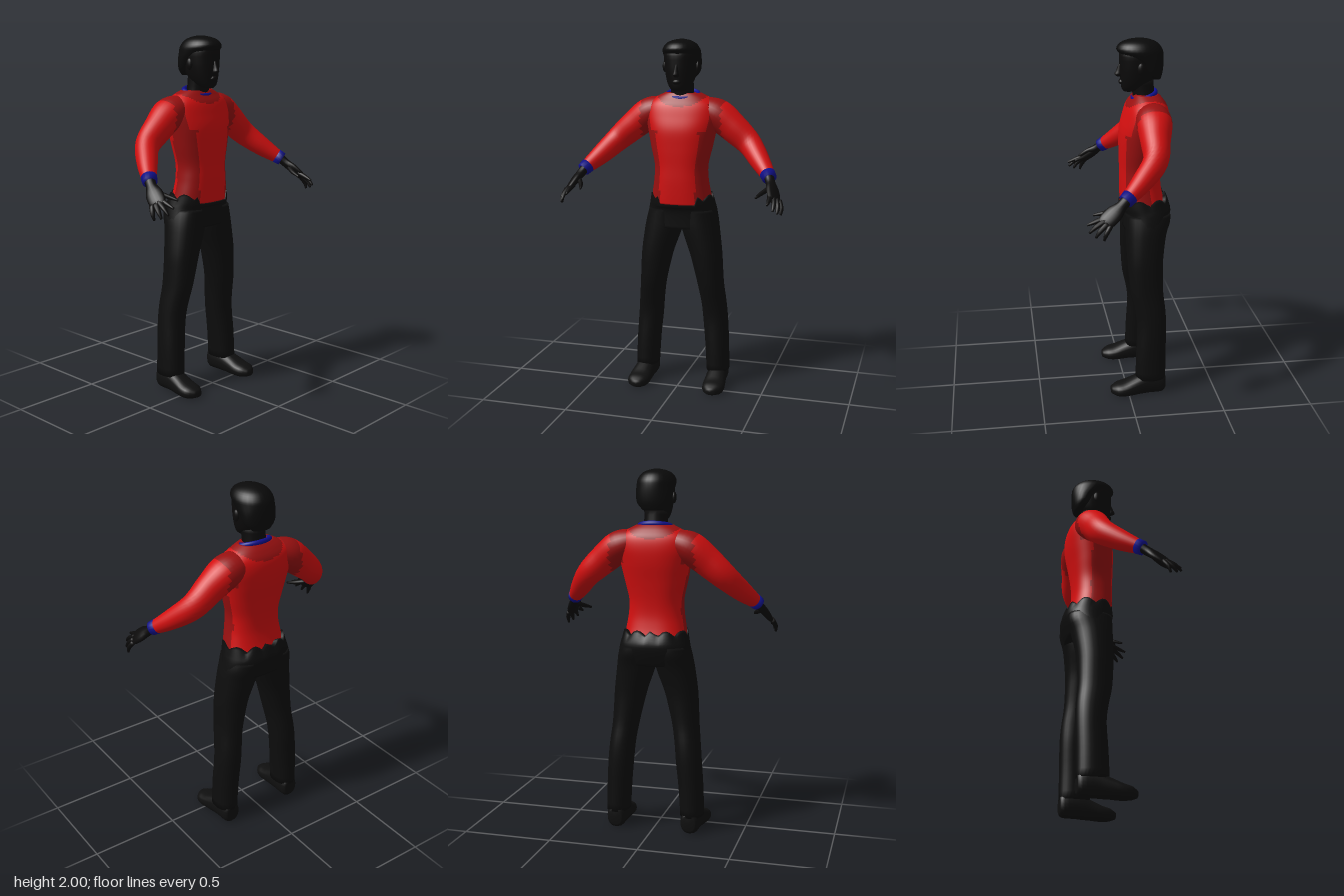
import * as THREE from 'three';

const mat = (name, color) => {
  const m = new THREE.MeshStandardMaterial({ color });
  m.name = name;
  return m;
};
const V3 = (x, y, z) => new THREE.Vector3(x, y, z);

// Smooth interpolation of rows of numbers, 'steps' rows per span
function resample(rows, steps) {
  const out = [], at = i => rows[Math.max(0, Math.min(rows.length - 1, i))];
  for (let i = 0; i < rows.length - 1; i++) {
    for (let k = 0; k < steps; k++) {
      const t = k / steps;
      out.push(at(i).map((b, j) => {
        const a = at(i - 1)[j], c = at(i + 1)[j], d = at(i + 2)[j];
        return b + 0.5 * t * (c - a + t * (2 * a - 5 * b + 4 * c - d + t * (3 * (b - c) + d - a)));
      }));
    }
  }
  out.push(at(rows.length - 1));
  return out;
}

// Skin over oval sections [x, y, z, halfWidth, halfDepth].
// ref points along halfDepth; axis fixes the section plane, otherwise it follows the path.
function loft(sections, { ref = V3(0, 1, 0), axis = null, n = 20, steps = 3, power = 1, paint = null } = {}) {
  const rows = resample(sections, steps);
  const last = rows.length - 1;
  const rings = [[...rows[0].slice(0, 3), 0, 0], ...rows, [...rows[last].slice(0, 3), 0, 0]];
  const pos = [], buckets = [[], []];
  const sp = v => Math.sign(v) * Math.abs(v) ** power;
  rings.forEach((r, i) => {
    const k = Math.max(0, Math.min(last, i - 1));
    const p = rows[Math.max(0, k - 1)], q = rows[Math.min(last, k + 1)];
    const T = axis ? axis.clone() : V3(q[0] - p[0], q[1] - p[1], q[2] - p[2]).normalize();
    const V = ref.clone().addScaledVector(T, -ref.dot(T)).normalize();
    const U = T.clone().cross(V);
    for (let j = 0; j < n; j++) {
      const a = j / n * Math.PI * 2;
      const v = V3(r[0], r[1], r[2]).addScaledVector(U, sp(Math.cos(a)) * r[3]).addScaledVector(V, sp(Math.sin(a)) * r[4]);
      pos.push(v.x, v.y, v.z);
    }
  });
  for (let i = 0; i < rings.length - 1; i++) {
    for (let j = 0; j < n; j++) {
      const a = i * n + j, b = i * n + (j + 1) % n, c = a + n, d = b + n;
      const mid = k => (pos[a * 3 + k] + pos[b * 3 + k] + pos[c * 3 + k] + pos[d * 3 + k]) / 4;
      buckets[paint && paint(mid(0), mid(1), mid(2)) ? 1 : 0].push(a, c, b, b, c, d);
    }
  }
  const g = new THREE.BufferGeometry();
  g.setAttribute('position', new THREE.Float32BufferAttribute(pos, 3));
  g.setIndex([...buckets[0], ...buckets[1]]);
  if (paint) {
    g.addGroup(0, buckets[0].length, 0);
    g.addGroup(buckets[0].length, buckets[1].length, 1);
  }
  g.computeVertexNormals();
  return g;
}

// Level sections given by [y, xMin, xMax, zFront, zBack]
const level = (rows, s = 1) => rows.map(([y, x0, x1, f, b]) => [s * (x0 + x1) / 2, y, (f + b) / 2, (x1 - x0) / 2, (f - b) / 2]);
const even = rows => level(rows.map(([y, w, f, b]) => [y, -w, w, f, b]));
const upright = { ref: V3(0, 0, 1), axis: V3(0, 1, 0) };

export function createModel() {
  const red = mat('shirt red', 0xd20f0f), darkRed = mat('shirt dark red', 0x981010);
  const blue = mat('trim blue', 0x10108c), skin = mat('skin', 0x0b0a0a);
  const hairMat = mat('hair', 0x0a0a0a), cloth = mat('trousers', 0x0d0d0d), leather = mat('shoes', 0x0f0f0f);
  const model = new THREE.Group();
  model.name = 'figure';
  const add = (name, geo, material, parent = model) => {
    const m = new THREE.Mesh(geo, material);
    m.name = name;
    parent.add(m);
    return m;
  };

  // Shirt body with darker shoulders, yoke and side panels
  add('shirtBody', loft(even([
    [1.085, .178, .015, -.232], [1.15, .166, .018, -.215], [1.22, .155, .02, -.205], [1.3, .152, .02, -.208],
    [1.4, .174, .022, -.222], [1.5, .195, .02, -.24], [1.58, .212, 0, -.246], [1.64, .2, -.02, -.237],
    [1.68, .15, -.045, -.212], [1.705, .1, -.06, -.185]]),
  { ...upright, n: 56, steps: 6, power: .85, paint: (x, y, z) => {
    const ax = Math.abs(x);
    return (y > 1.5 && ax > .165) || Math.hypot(x * .55, y - 1.72) < .085 ||
      (y < 1.5 && ax > .1 && z > -.13 && z < .0);
  } }), [red, darkRed]);

  // Collar, lower at the front
  const collar = add('collar', new THREE.TorusGeometry(1, .16, 10, 40), blue);
  collar.scale.set(.088, .066, .085);
  collar.rotation.x = Math.PI / 2 + .3;
  collar.position.set(0, 1.695, -.115);

  // Trouser seat with a ragged waist edge
  const seat = loft(even([
    [.945, .214, 0, -.232], [1, .205, .002, -.253], [1.05, .195, .006, -.263],
    [1.09, .186, .018, -.257], [1.14, .176, .022, -.238]]), { ...upright, n: 56, power: .85 });
  const p = seat.attributes.position;
  for (let i = 0; i < p.count; i++) {
    const x = p.getX(i), z = p.getZ(i) + .11, y = p.getY(i);
    if (y <= 1.06) continue;
    const a = Math.atan2(z, Math.abs(x));
    const k = a > .75 ? .32 : .6 + .4 * Math.abs(Math.sin(a * 5 + (x > 0 ? .4 : 0)));
    p.setY(i, 1.06 + (y - 1.06) * k);
  }
  seat.computeVertexNormals();
  add('trouserSeat', seat, cloth);

  // Neck and head
  add('neck', loft([[0, 1.64, -.12, .075, .065], [0, 1.7, -.112, .066, .06], [0, 1.78, -.1, .064, .065]], upright), skin);
  add('head', loft(even([
    [1.718, .026, -.005, -.06], [1.735, .052, .008, -.1], [1.77, .073, .013, -.15], [1.82, .086, .018, -.185],
    [1.87, .093, .02, -.2], [1.93, .094, .018, -.2], [1.975, .065, -.01, -.165]]), { ...upright, n: 28, power: .92 }), skin);
  add('hair', loft(even([
    [1.785, .055, -.15, -.203], [1.82, .09, -.105, -.213], [1.87, .101, -.06, -.218], [1.915, .105, .008, -.218],
    [1.945, .103, .036, -.211], [1.975, .083, .018, -.186], [1.992, .052, -.02, -.15], [2, .018, -.06, -.115]]),
  { ...upright, n: 28 }), hairMat);
  add('nose', loft(even([[1.798, .012, .03, 0], [1.81, .017, .047, 0], [1.83, .012, .038, 0], [1.865, .008, .024, 0]]), { ...upright, n: 10 }), skin);
  add('lips', loft(even([[1.758, .016, .018, -.01], [1.77, .026, .025, -.01], [1.784, .016, .02, -.01]]), { ...upright, n: 12 }), skin);

  for (const s of [1, -1]) {
    const side = s > 0 ? 'left' : 'right';
    const mir = rows => rows.map(([x, ...r]) => [s * x, ...r]);

    const ear = add(side + 'Ear', new THREE.SphereGeometry(1, 12, 10), skin);
    ear.scale.set(.013, .032, .02);
    ear.position.set(s * .094, 1.85, -.085);

    // Sleeve, with a dark shoulder cap, and cuff
    add(side + 'Sleeve', loft(mir([
      [.12, 1.615, -.135, .085, .07], [.2, 1.583, -.138, .096, .088], [.29, 1.513, -.13, .08, .082],
      [.385, 1.43, -.115, .066, .07], [.462, 1.348, -.035, .055, .056], [.528, 1.28, .05, .038, .037]]),
    { n: 28, steps: 5, paint: x => Math.abs(x) < .235 }), [red, darkRed]);
    add(side + 'Cuff', loft(mir([[.517, 1.292, .036, .043, .042], [.535, 1.272, .062, .04, .039]]), { steps: 1 }), blue);

    // Hand
    const hand = new THREE.Group();
    hand.name = side + 'Hand';
    model.add(hand);
    add('palm', loft(mir([
      [.53, 1.277, .055, .03, .026], [.545, 1.25, .085, .03, .024], [.562, 1.222, .12, .046, .022],
      [.577, 1.19, .16, .046, .018], [.585, 1.172, .178, .036, .012]]), { ref: V3(s * .62, .75, 0), n: 16 }), skin, hand);
    const fingers = {
      thumb: [[.545, 1.228, .11], [.512, 1.208, .165], [.492, 1.192, .222]],
      indexFinger: [[.558, 1.2, .165], [.562, 1.182, .215], [.56, 1.165, .26]],
      middleFinger: [[.577, 1.19, .168], [.588, 1.163, .218], [.588, 1.132, .252]],
      ringFinger: [[.592, 1.178, .162], [.606, 1.145, .2], [.607, 1.112, .222]],
      littleFinger: [[.604, 1.17, .148], [.62, 1.135, .17], [.62, 1.1, .182]]
    };
    for (const [name, pts] of Object.entries(fingers)) {
      const [a, b, c] = pts;
      add(name, loft(mir([[...a, .015, .014], [...b, .0125, .012], [...c, .006, .006]]), { n: 10 }), skin, hand);
    }

    // Trouser leg
    add(side + 'Leg', loft(level([
      [.09, .15, .28, -.043, -.215], [.25, .14, .276, -.048, -.216], [.4, .125, .267, -.055, -.219],
      [.5, .116, .258, -.042, -.215], [.6, .1, .247, -.02, -.204], [.7, .077, .241, -.01, -.202],
      [.8, .05, .235, -.004, -.206], [.93, .004, .218, 0, -.226], [1, .002, .205, 0, -.248], [1.05, .01, .19, 0, -.25]], s),
    { ...upright, n: 28, power: .9 }), cloth);

    // Shoe, heel to toe, with its underside flattened
    const shoe = loft(mir([
      [.213, .06, -.213, .035, .045], [.214, .06, -.19, .052, .065], [.216, .06, -.11, .056, .066],
      [.221, .045, -.04, .06, .055], [.224, .032, .02, .064, .042], [.225, .028, .065, .056, .034], [.222, .025, .1, .025, .018]]),
    { axis: V3(0, 0, 1), n: 24, power: .85 });
    const q = shoe.attributes.position;
    for (let i = 0; i < q.count; i++) q.setY(i, Math.max(0, q.getY(i)));
    shoe.computeVertexNormals();
    add(side + 'Shoe', shoe, leather);
  }
  return model;
}
